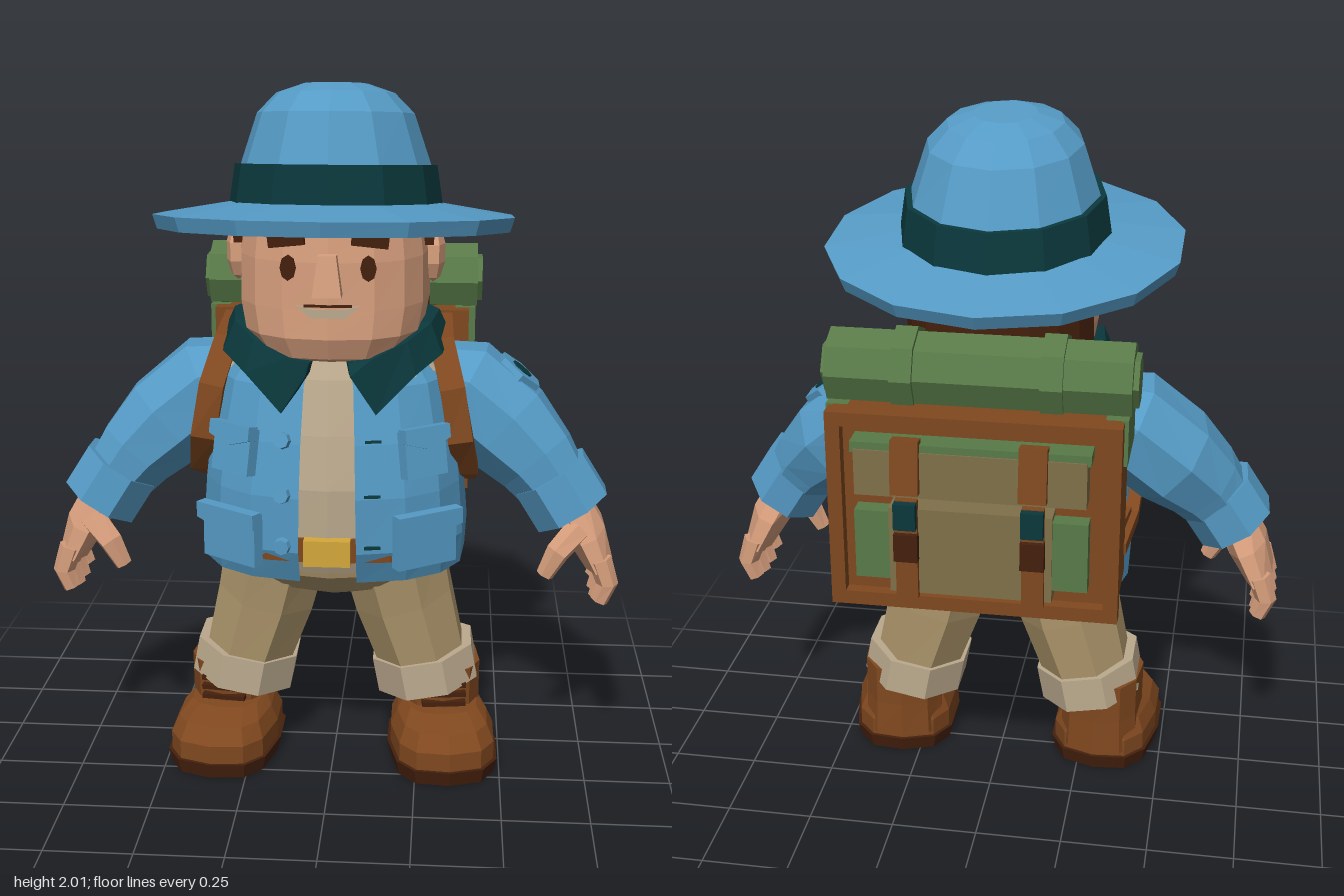
import * as THREE from 'three';

const mat = (name, color, side = THREE.FrontSide) => {
  const m = new THREE.MeshStandardMaterial({ color, side });
  m.name = name;
  return m;
};
const V = (x, y, z) => new THREE.Vector3(x, y, z);

// Skin over a list of rings; closed wraps around, caps fill both ends
function skin(rings, closed = true, caps = true) {
  const n = rings[0].length, pos = [], idx = [];
  rings.forEach(r => r.forEach(p => pos.push(p.x, p.y, p.z)));
  const cols = closed ? n : n - 1;
  for (let j = 0; j < rings.length - 1; j++) {
    for (let i = 0; i < cols; i++) {
      const a = j * n + i, b = j * n + (i + 1) % n;
      idx.push(a, b, b + n, a, b + n, a + n);
    }
  }
  if (caps) {
    const top = (rings.length - 1) * n;
    for (let i = 1; i < n - 1; i++) idx.push(0, i + 1, i, top, top + i, top + i + 1);
  }
  const g = new THREE.BufferGeometry();
  g.setAttribute('position', new THREE.Float32BufferAttribute(pos, 3));
  g.setIndex(idx);
  return g;
}

// Rounded-oval point; a = 0 is the front, growing towards +x
const pw = (v, p) => Math.sign(v) * Math.abs(v) ** p;
const oval = ([y, rx, rz, cz = 0], a, p) => V(rx * pw(Math.sin(a), p), y, cz + rz * pw(Math.cos(a), p));

// Upright loft from rows of [y, rx, rz, cz]
function loft(rows, n = 12, p = 1, a0 = 0, a1 = Math.PI * 2) {
  const full = a1 - a0 > 6.28, count = full ? n : n + 1;
  return skin(rows.map(r => Array.from({ length: count }, (_, i) =>
    oval(r, a0 + (a1 - a0) * i / n, p))), full, full);
}

// Loft along a path of [x, y, z, ru, rv]; u follows ref
function limb(pts, n = 8, ref = V(0, 0, 1), phase = Math.PI / n) {
  const c = pts.map(q => V(q[0], q[1], q[2]));
  return skin(pts.map((q, j) => {
    const t = c[Math.min(j + 1, c.length - 1)].clone().sub(c[Math.max(j - 1, 0)]).normalize();
    const u = ref.clone().addScaledVector(t, -ref.dot(t)).normalize(), v = t.clone().cross(u);
    return Array.from({ length: n }, (_, i) => {
      const a = phase + i / n * Math.PI * 2;
      return c[j].clone().addScaledVector(u, q[3] * Math.cos(a)).addScaledVector(v, q[4] * Math.sin(a));
    });
  }));
}

const JACKET = [[.64, .385, .32, .02], [.74, .39, .345, .04], [.9, .377, .345, .045],
  [1.05, .36, .32, .045], [1.2, .33, .28, .045], [1.31, .25, .23, .04]];

// Position and yaw on the jacket front at (x, y)
function onJacket(x, y) {
  let k = 0;
  while (k < JACKET.length - 2 && JACKET[k + 1][0] < y) k++;
  const A = JACKET[k], B = JACKET[k + 1], f = (y - A[0]) / (B[0] - A[0]);
  const [, rx, rz, cz] = A.map((v, i) => v + (B[i] - v) * f);
  const s = Math.abs(x) / rx, c = (1 - s ** 2.5) ** .4;
  return { z: cz + rz * c, yaw: Math.sign(x) * Math.atan2(s ** 1.5 / rx, c ** 1.5 / rz), pitch: Math.atan2(A[2] - B[2], B[0] - A[0]) };
}

export function createModel() {
  const root = new THREE.Group();
  root.name = 'explorer';
  const blue = mat('blue cloth', 0x559bc6, THREE.DoubleSide), teal = mat('dark teal', 0x0b383c);
  const skinTone = mat('skin', 0xd9a07e), khaki = mat('khaki', 0xaf976c), cream = mat('cream', 0xbcaa8e);
  const leather = mat('leather', 0x80481f), dark = mat('dark brown', 0x45200d), green = mat('green canvas', 0x597a48);
  const gold = mat('gold', 0xd4a83a), olive = mat('olive canvas', 0x80704a);

  const add = (name, geo, m, parent = root) => {
    const g = geo.index ? geo.toNonIndexed() : geo;
    g.computeVertexNormals();
    const mesh = new THREE.Mesh(g, m);
    mesh.name = name;
    parent.add(mesh);
    return mesh;
  };
  const box = (name, w, h, d, x, y, z, m, parent) => {
    const b = add(name, new THREE.BoxGeometry(w, h, d), m, parent);
    b.position.set(x, y, z);
    return b;
  };
  const onFront = (mesh, x, y, out = 0) => {
    const { z, yaw, pitch } = onJacket(x, y);
    mesh.position.set(x + Math.sin(yaw) * out, y, z + Math.cos(yaw) * out);
    mesh.rotation.set(-pitch, yaw, 0, 'YXZ');
  };

  // Hat, tipped back
  const hat = new THREE.Group();
  hat.name = 'hat';
  hat.position.set(0, 1.63, .06);
  hat.rotation.x = -.11;
  root.add(hat);
  add('brim', loft([[-.01, .24, .26], [-.03, .5, .52], [.01, .513, .535], [.045, .3, .32]], 14), blue, hat);
  add('crown', loft([[0, .28, .31, -.01], [.15, .268, .297, 0], [.29, .22, .24, .02],
    [.345, .165, .18, .03], [.37, .09, .1, .03]], 12), blue, hat);
  add('hatBand', loft([[.04, .302, .328, -.01], [.15, .285, .312, 0]], 12), teal, hat);

  // Head and face
  add('head', loft([[1.25, .13, .15, .1], [1.28, .215, .225, .09], [1.34, .255, .272, .07],
    [1.42, .27, .28, .06], [1.55, .268, .28, .06], [1.66, .255, .27, .06]], 16, .8), skinTone);
  add('hair', loft([[1.28, .235, .235, .01], [1.36, .277, .29, .05], [1.66, .272, .285, .05]], 8, .8, 1.85, Math.PI * 2 - 1.85), dark)
    .material.side = THREE.DoubleSide;
  const nose = add('nose', new THREE.CylinderGeometry(.035, .056, .11, 4, 1).rotateY(Math.PI / 4), skinTone);
  nose.position.set(0, 1.52, .35);
  const smile = new THREE.Shape();
  smile.moveTo(-.085, .015);
  [[-.05, -.02], [.05, -.02], [.085, .015], [.04, .004], [-.04, .004]].forEach(p => smile.lineTo(...p));
  add('mouth', new THREE.ExtrudeGeometry(smile, { depth: .009, bevelEnabled: false }), cream).position.set(0, 1.42, .333);
  box('lipLine', .13, .007, .008, 0, 1.433, .336, dark);

  // Shirt, belt and jacket
  add('shirt', loft(JACKET.map(([y, rx, rz, cz]) => [y + .02, rx * .95, rz * .95, cz]), 16, .8), cream);
  add('belt', loft([[.71, .375, .336, .04], [.78, .375, .338, .04]], 16, .8), leather);
  box('buckle', .13, .075, .04, 0, .745, .378, gold);
  add('jacket', loft(JACKET, 16, .8, .14, Math.PI * 2 - .14), blue);
  for (const y of [1.06, .91, .76]) {
    onFront(add('button', new THREE.CylinderGeometry(.022, .025, .025, 8).rotateX(Math.PI / 2), blue), -.125, y, .004);
    onFront(box('buttonhole', .045, .008, .008, 0, 0, 0, teal), .125, y, .002);
  }

  // Collar: half table of [angle, bottom y, top y], mirrored
  const half = [[.15, 1.24, 1.27], [.36, 1.13, 1.28], [.75, 1.23, 1.32], [1.15, 1.27, 1.355],
    [1.7, 1.285, 1.36], [2.4, 1.29, 1.365], [Math.PI, 1.29, 1.37]];
  const table = [...half, ...half.slice(0, -1).reverse().map(([a, b, t]) => [Math.PI * 2 - a, b, t])];
  add('collar', skin(table.map(([a, b, t]) => [[t, .255, .245, .04], [b, .29, .25, .04], [b, .335, .305, .045], [t, .3, .285, .04]]
    .map(r => oval(r, a, .9)))), teal).material.side = THREE.DoubleSide;

  // Trousers seat
  add('trouserSeat', loft([[.525, .09, .1, .03], [.57, .24, .2, .03], [.64, .335, .28, .03], [.74, .35, .31, .03]], 12, .9), khaki);

  for (const s of [1, -1]) {
    const path = pts => pts.map(([x, ...r]) => [x * s, ...r]);
    // Face sides
    const eye = add('eye', new THREE.CylinderGeometry(.022, .022, .014, 8).rotateX(Math.PI / 2), dark);
    eye.scale.y = 1.6;
    eye.position.set(.108 * s, 1.535, .325);
    eye.rotation.y = .14 * s;
    const brow = box('eyebrow', .1, .03, .024, .112 * s, 1.608, .322, dark);
    brow.rotation.set(0, .14 * s, -.12 * s);
    const ear = add('ear', new THREE.SphereGeometry(1, 6, 5), skinTone);
    ear.scale.set(.035, .085, .06);
    ear.position.set(.278 * s, 1.535, .05);
    box('sideburn', .03, .09, .12, .265 * s, 1.615, .08, dark);

    // Arm
    add('sleeve', limb(path([[.24, 1.17, 0, .14, .1], [.37, 1.13, 0, .19, .15], [.5, 1.02, .025, .18, .15],
      [.59, .93, .06, .145, .125], [.65, .85, .08, .12, .105]])), blue);
    add('sleeveCuff', limb(path([[.625, .9, .075, .14, .122], [.695, .79, .085, .14, .122]])), blue);
    add('palm', limb(path([[.68, .83, .085, .075, .06], [.735, .73, .075, .125, .062], [.775, .64, .072, .14, .045]])), skinTone);
    for (let k = 0; k < 4; k++) {
      const z = .072 + (k - 1.5) * .068, d = k % 3 ? 0 : .015;
      add('finger', limb(path([[.772, .67, z, .035, .035], [.797, .595, z, .035, .032], [.775, .525 + d, z, .027, .026]]), 6), skinTone);
    }
    add('thumb', limb(path([[.71, .75, .15, .045, .04], [.65, .69, .185, .04, .035], [.615, .62, .185, .026, .025]]), 6), skinTone);

    // Jacket pockets
    for (const [x, y, w, h] of [[.255, 1.03, .135, .13], [.265, .785, .19, .15]]) {
      const pocket = new THREE.Group();
      pocket.name = 'pocket';
      root.add(pocket);
      onFront(pocket, x * s, y, .008);
      box('pocketBody', w, h, .035, 0, -.01, 0, blue, pocket);
      const flap = new THREE.Shape();
      [[-.55, .5], [-.55, .2], [0, .02], [.55, .2], [.55, .5]].forEach(([a, b], i) => flap[i ? 'lineTo' : 'moveTo'](a * w, b * h));
      add('pocketFlap', new THREE.ExtrudeGeometry(flap, { depth: .035, bevelEnabled: false }), blue, pocket);
    }

    // Leg
    add('trouserLeg', limb(path([[.165, .68, .04, .21, .165], [.205, .5, .03, .19, .155], [.27, .28, .025, .165, .135]])), khaki);
    add('trouserCuff', limb(path([[.263, .33, .025, .185, .162], [.283, .225, .025, .185, .162]])), cream);

    // Boot, toes turned slightly out
    const boot = new THREE.Group();
    boot.name = 'boot';
    boot.position.set(.315 * s, 0, 0);
    boot.rotation.y = .12 * s;
    root.add(boot);
    add('bootSole', loft([[0, .155, .215, .1], [.045, .165, .225, .1]], 12, .7), dark, boot);
    add('bootFoot', loft([[.045, .155, .215, .1], [.1, .155, .215, .1], [.145, .135, .185, .095], [.17, .11, .14, .05]], 12, .7), leather, boot);
    add('bootShaft', loft([[.06, .125, .13, 0], [.17, .12, .135, .01], [.29, .12, .14, .015]], 10, .8), leather, boot);
    for (const y of [.185, .215, .245]) box('bootLace', .13, .014, .03, 0, y, .14, dark, boot);

    // Backpack shoulder strap
    add('shoulderStrap', limb(path([[.3, 1.27, -.24, .05, .025], [.3, 1.315, -.08, .05, .025], [.305, 1.285, .11, .05, .025],
      [.34, 1.17, .2, .05, .025], [.365, 1.03, .215, .05, .025], [.385, .92, .13, .045, .025], [.38, .85, -.05, .045, .025],
      [.36, .83, -.23, .045, .025]]), 4, V(1, 0, 0)), leather);
    add('lowerStrap', limb(path([[.37, .84, -.06, .06, .03], [.35, .84, -.24, .06, .03]]), 4, V(0, 1, 0)), leather);

    // Backpack side details
    box('rollSaddle', .06, .13, .21, .375 * s, 1.25, -.35, green);
    box('sidePocket', .1, .2, .05, .265 * s, .95, -.52, green);
    box('packStrap', .075, .15, .04, .17 * s, 1.19, -.555, leather).rotation.x = .12;
    box('packStrapLower', .06, .29, .02, .17 * s, .95, -.555, leather);
    box('strapTab', .065, .08, .025, .17 * s, .96, -.567, dark);
    box('packBuckle', .06, .075, .025, .17 * s, 1.055, -.575, teal);
    const band = add('rollBand', new THREE.CylinderGeometry(.118, .118, .06, 8).rotateZ(Math.PI / 2), green);
    band.position.set(.2 * s, 1.39, -.35);
    const end = add('rollEnd', new THREE.CylinderGeometry(.075, .075, .02, 6).rotateZ(Math.PI / 2), green);
    end.position.set(.415 * s, 1.39, -.35);
  }

  // Sleeve patch on the left arm
  const patch = new THREE.Group();
  patch.name = 'sleevePatch';
  patch.position.set(.53, 1.178, .015);
  patch.rotation.z = -.69;
  root.add(patch);
  add('patchBase', new THREE.CylinderGeometry(.075, .078, .03, 6), blue, patch);
  add('patchBadge', new THREE.CylinderGeometry(.034, .034, .038, 8), teal, patch);

  // Backpack body and bedroll
  box('packBody', .77, .57, .28, 0, 1.03, -.34, leather);
  for (const y of [.765, 1.295]) box('packRim', .79, .04, .05, 0, y, -.49, leather);
  for (const x of [-.375, .375]) box('packRimSide', .04, .55, .05, x, 1.03, -.49, leather);
  box('packPocket', .44, .25, .07, 0, .94, -.515, olive);
  box('packFlap', .62, .13, .07, 0, 1.165, -.52, olive);
  box('flapTrim', .64, .03, .08, 0, 1.235, -.51, green);
  const roll = add('bedroll', new THREE.CylinderGeometry(.105, .105, .82, 8).rotateZ(Math.PI / 2), green);
  roll.position.set(0, 1.39, -.35);

  return root;
}
